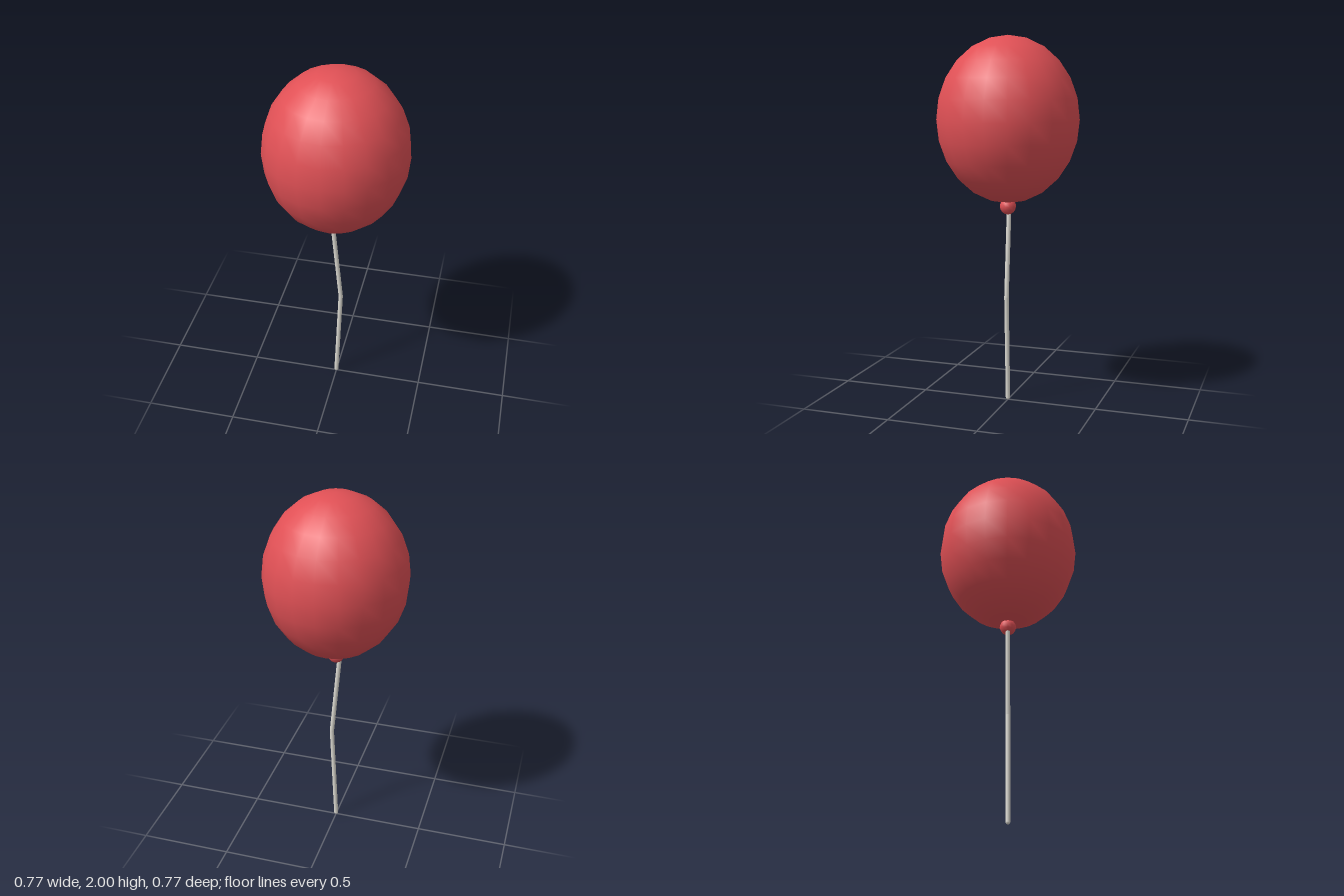
import * as THREE from 'three';

const red = new THREE.MeshStandardMaterial({ color: 0xe05055 });
const pale = new THREE.MeshStandardMaterial({ color: 0xdcdad2 });

function addMesh(group, name, geometry, material) {
  const mesh = new THREE.Mesh(geometry, material);
  mesh.name = name;
  group.add(mesh);
  return mesh;
}

// Round-ended rod between two points
function addRod(group, name, from, to, radius) {
  const dir = to.clone().sub(from);
  const rod = addMesh(group, name, new THREE.CapsuleGeometry(radius, dir.length(), 4, 10), pale);
  rod.position.copy(from).lerp(to, 0.5);
  rod.quaternion.setFromUnitVectors(new THREE.Vector3(0, 1, 0), dir.normalize());
}

export function createModel() {
  const model = new THREE.Group();
  model.name = 'balloon';

  // Inflated body, slightly taller than wide
  const body = addMesh(model, 'body', new THREE.SphereGeometry(1, 20, 12), red);
  body.scale.set(0.383, 0.445, 0.383);
  body.position.y = 1.555;

  // Tied knot under the body
  const knot = addMesh(model, 'knot', new THREE.SphereGeometry(0.045, 12, 8), red);
  knot.position.y = 1.09;

  // String with one bend
  const string = new THREE.Group();
  string.name = 'string';
  const radius = 0.0125;
  const points = [[-0.02, 1.08], [0.025, 0.59], [0, radius]].map(([x, y]) => new THREE.Vector3(x, y, 0));
  addRod(string, 'upperString', points[1], points[0], radius);
  addRod(string, 'lowerString', points[2], points[1], radius);
  model.add(string);

  return model;
}
